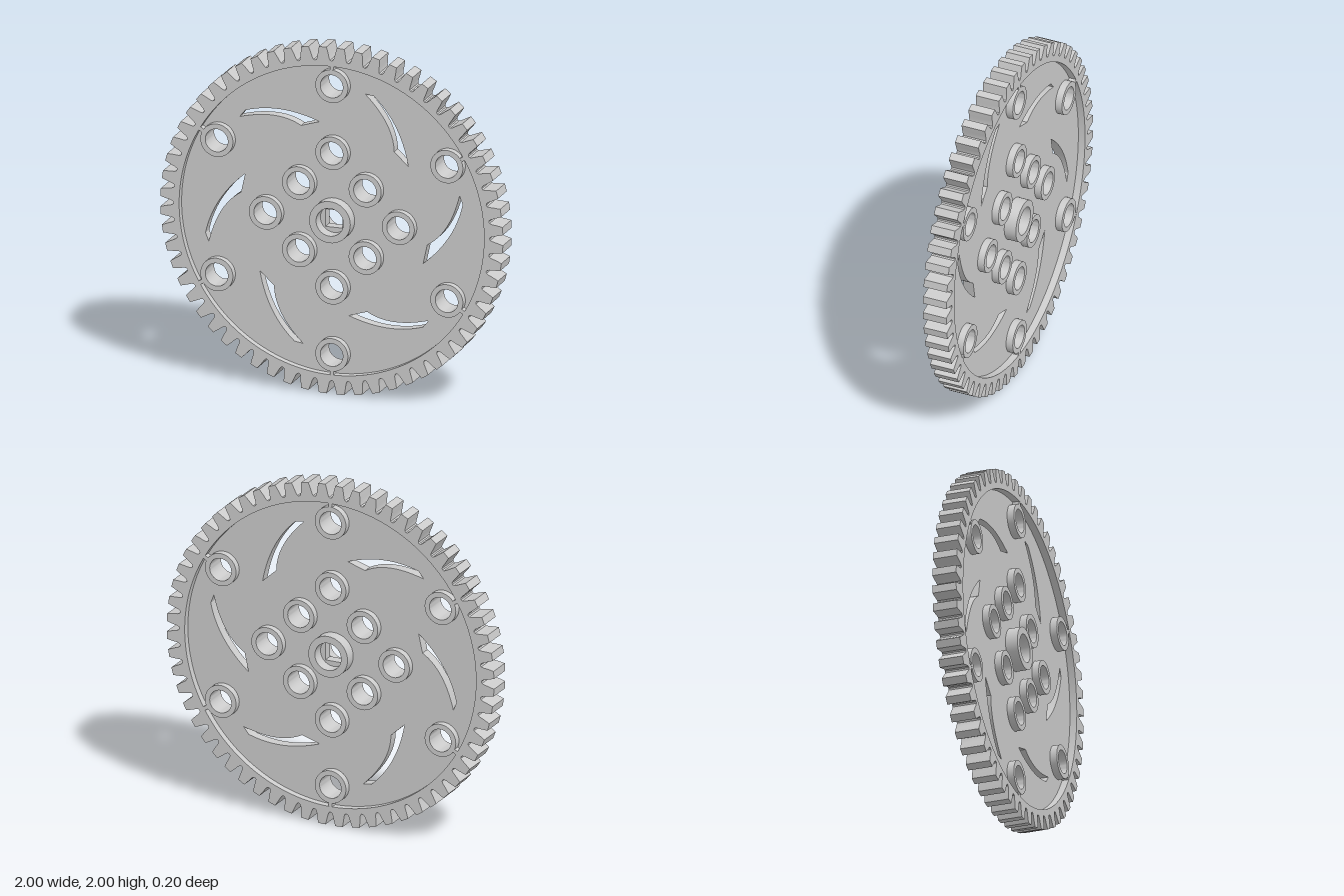
import * as THREE from 'three';
import { toCreasedNormals } from 'three/addons/utils/BufferGeometryUtils.js';

const TEETH = 60, HALF = 0.07, WEB = 0.03;
const material = new THREE.MeshStandardMaterial({ color: 0xcccccc });

function circle(x, y, r) {
  return new THREE.Path().absarc(x, y, r, 0, Math.PI * 2, true);
}

// plate centred on z = 0
function plate(name, shape, half, curveSegments) {
  const geo = new THREE.ExtrudeGeometry(shape, { depth: half * 2, bevelEnabled: false, curveSegments });
  geo.translate(0, 0, -half);
  const mesh = new THREE.Mesh(toCreasedNormals(geo, 0.4), material);
  mesh.name = name;
  return mesh;
}

// hollow cylinder along z
function tube(name, x, y, inner, outer, half) {
  const profile = [[inner, -half], [outer, -half], [outer, half], [inner, half], [inner, -half]]
    .map(([r, h]) => new THREE.Vector2(r, h));
  const geo = toCreasedNormals(new THREE.LatheGeometry(profile, 48), 0.6);
  geo.rotateX(Math.PI / 2);
  const mesh = new THREE.Mesh(geo, material);
  mesh.name = name;
  mesh.position.set(x, y, 0);
  return mesh;
}

// toothed rim, with a gap between teeth at the very top
function toothedRim() {
  const flank = [[-0.0524, 0.922], [-0.043, 0.926], [-0.037, 0.938], [-0.031, 0.965], [-0.022, 1],
    [0.022, 1], [0.031, 0.965], [0.037, 0.938], [0.043, 0.926]];
  const points = [];
  for (let i = 0; i < TEETH; i++) {
    const mid = ((i + 0.5) / TEETH) * Math.PI * 2;
    for (const [a, r] of flank) points.push(new THREE.Vector2(r * Math.cos(mid + a), r * Math.sin(mid + a)));
  }
  const shape = new THREE.Shape(points);
  shape.holes.push(circle(0, 0, 0.89));
  return plate('toothedRim', shape, HALF, 96);
}

// curved blade-like slot, turned about the centre
function slot(angle) {
  const path = new THREE.Path();
  path.moveTo(-0.551, 0.527);
  path.lineTo(-0.519, 0.567);
  path.quadraticCurveTo(-0.3175, 0.6335, -0.086, 0.55);
  path.lineTo(-0.193, 0.516);
  path.quadraticCurveTo(-0.328, 0.5925, -0.551, 0.527);
  const origin = new THREE.Vector2();
  return new THREE.Path(path.getPoints(14).map(p => p.rotateAround(origin, angle)));
}

export function createModel() {
  const model = new THREE.Group();
  model.name = 'spurGear';
  const gear = new THREE.Group();
  gear.name = 'gear';
  gear.position.y = 1;
  model.add(gear);
  gear.add(toothedRim());

  // boss positions: inner ring alternates two radii, outer ring has six
  const bosses = [];
  for (let i = 0; i < 8; i++) {
    const a = (i * Math.PI) / 4, r = i % 2 ? 0.275 : 0.388;
    bosses.push(['innerBoss', r * Math.cos(a), r * Math.sin(a)]);
  }
  for (let i = 0; i < 6; i++) {
    const a = Math.PI / 2 + (i * Math.PI) / 3;
    bosses.push(['outerBoss', 0.775 * Math.cos(a), 0.775 * Math.sin(a)]);

    // thin rib joining each outer boss to the rim
    const rib = new THREE.Mesh(new THREE.BoxGeometry(0.045, 0.022, HALF * 2 - 0.002), material);
    rib.name = 'rib';
    rib.position.set(0.88 * Math.cos(a), 0.88 * Math.sin(a), 0);
    rib.rotation.z = a;
    gear.add(rib);
  }

  // thin web pierced by the bosses, the slots and the square shaft hole
  const web = new THREE.Shape().absarc(0, 0, 0.9, 0, Math.PI * 2, false);
  for (const [name, x, y] of bosses) {
    web.holes.push(circle(x, y, 0.08));
    gear.add(tube(name, x, y, 0.066, 0.095, HALF));
  }
  for (let i = 0; i < 6; i++) web.holes.push(slot((i * Math.PI) / 3));
  const s = 0.05;
  web.holes.push(new THREE.Path([[-s, -s], [-s, s], [s, s], [s, -s]].map(p => new THREE.Vector2(...p))));
  gear.add(plate('web', web, WEB, 32));

  // raised centre hub
  gear.add(tube('hub', 0, 0, 0.08, 0.12, 0.1));
  return model;
}
